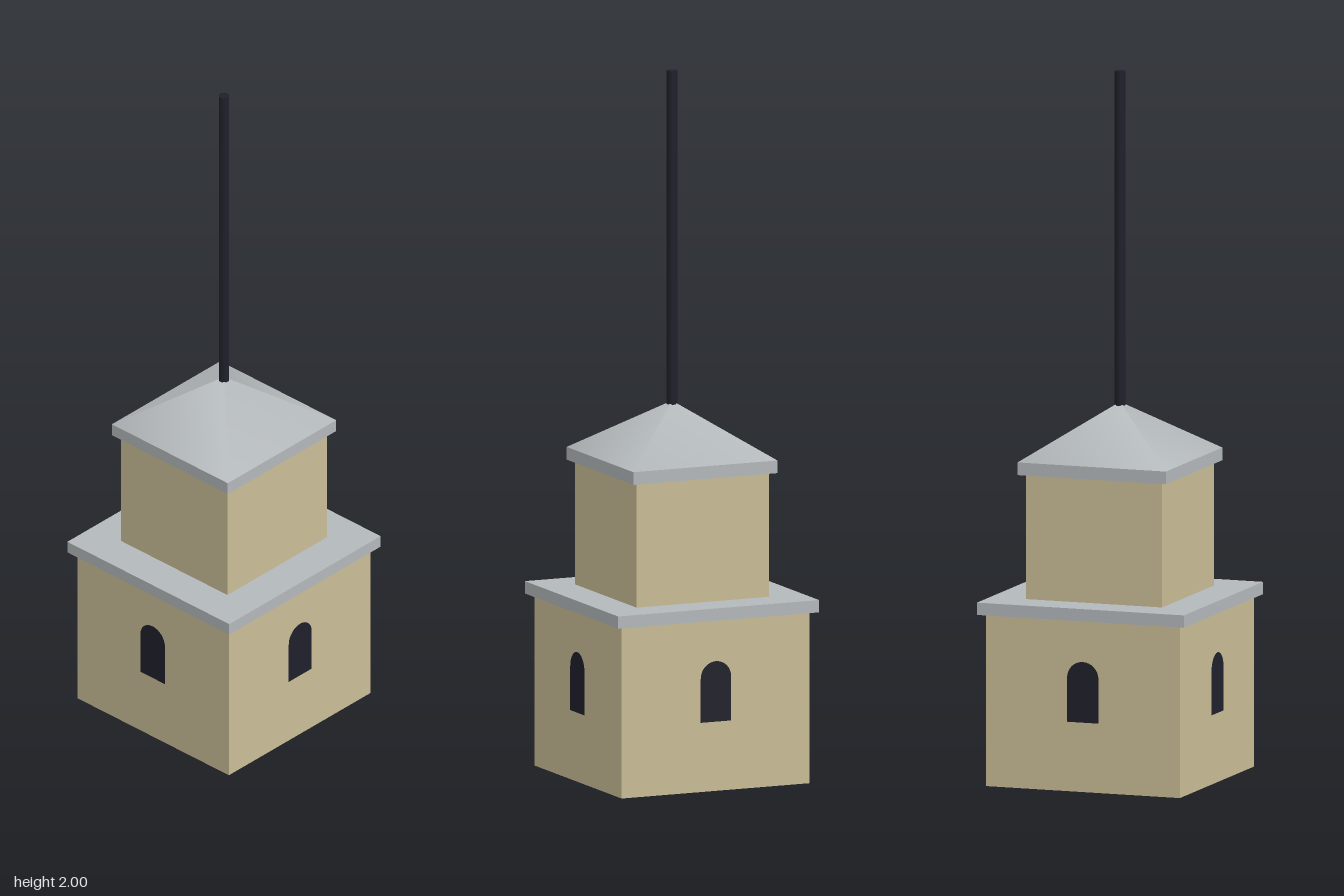
import * as THREE from 'three';

export function createModel() {
  const model = new THREE.Group();
  model.name = 'belfryTower';

  const material = (name, color, extra = {}) =>
    Object.assign(new THREE.MeshStandardMaterial({ color, ...extra }), { name });
  const stone = material('sandstone', 0xc9bc96, { flatShading: true, side: THREE.DoubleSide });
  const slate = material('greySlate', 0xb3b8ba);
  const dark = material('darkIron', 0x1f202b);

  const add = (name, geometry, mat, y = 0) => {
    const mesh = new THREE.Mesh(geometry, mat);
    mesh.name = name;
    mesh.position.y = y;
    model.add(mesh);
    return mesh;
  };

  // Four walls without floor or ceiling
  const walls = (name, half, y0, y1) => {
    const r = half * Math.SQRT2;
    const g = new THREE.CylinderGeometry(r, r, y1 - y0, 4, 1, true).rotateY(Math.PI / 4);
    add(name, g, stone, (y0 + y1) / 2);
  };
  const slab = (name, half, y0, y1) =>
    add(name, new THREE.BoxGeometry(half * 2, y1 - y0, half * 2), slate, (y0 + y1) / 2);

  walls('lowerWalls', 0.29, 0, 0.49);
  slab('lowerLedge', 0.31, 0.487, 0.522);
  walls('upperWalls', 0.204, 0.522, 0.876);
  slab('upperLedge', 0.222, 0.875, 0.911);

  // Smooth-shaded pyramid roof
  const roof = new THREE.ConeGeometry(0.222 * Math.SQRT2, 0.151, 4, 1, true);
  roof.rotateY(Math.PI * 0.75);
  add('roof', roof, slate, 0.911 + 0.151 / 2);

  // Spire rod
  const rod = new THREE.CylinderGeometry(0.0153, 0.0153, 0.96, 8).rotateY(Math.PI / 8);
  add('spire', rod, dark, 1.52);

  // Arched window on each side of the lower walls
  const arch = new THREE.Shape();
  arch.moveTo(-0.047, 0.197);
  arch.lineTo(0.047, 0.197);
  arch.lineTo(0.047, 0.322);
  arch.absarc(0, 0.322, 0.047, 0, Math.PI, false);
  arch.closePath();
  const pane = new THREE.ShapeGeometry(arch, 8).translate(0, 0, 0.292);
  ['front', 'left', 'back', 'right'].forEach((side, i) => {
    add(side + 'Window', pane, dark).rotation.y = (i * Math.PI) / 2;
  });

  return model;
}
